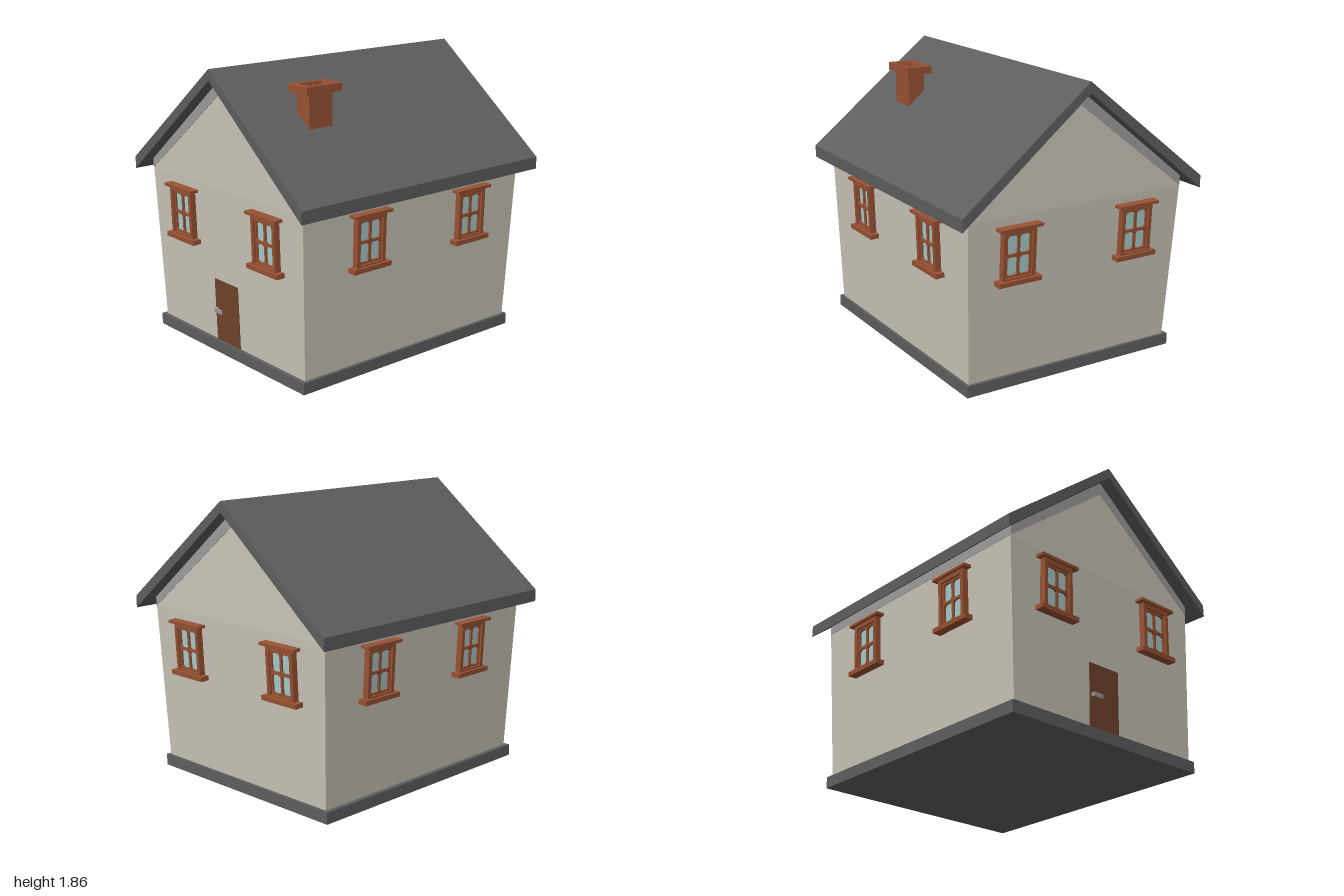
import * as THREE from 'three';

const mat = (name, color) => {
  const m = new THREE.MeshStandardMaterial({ color });
  m.name = name;
  return m;
};

const polygon = (pts) => new THREE.Shape(pts.map(([x, y]) => new THREE.Vector2(x, y)));

// Extrudes a shape along z from z0 to z1
function extrude(shape, z0, z1) {
  const g = new THREE.ExtrudeGeometry(shape, { depth: z1 - z0, bevelEnabled: false });
  return g.translate(0, 0, z0);
}

// Closed solid through rectangular rings [y, x0, x1, z0, z1]
function loft(rings) {
  const corners = rings.map(([y, x0, x1, z0, z1]) => [[x0, y, z1], [x1, y, z1], [x1, y, z0], [x0, y, z0]]);
  const pos = [];
  const quad = (a, b, c, d) => pos.push(...a, ...b, ...c, ...a, ...c, ...d);
  for (let r = 0; r < corners.length - 1; r++) {
    for (let i = 0; i < 4; i++) {
      const j = (i + 1) % 4;
      quad(corners[r][i], corners[r][j], corners[r + 1][j], corners[r + 1][i]);
    }
  }
  quad(...[...corners[0]].reverse());
  quad(...corners[corners.length - 1]);
  const g = new THREE.BufferGeometry();
  g.setAttribute('position', new THREE.Float32BufferAttribute(pos, 3));
  g.computeVertexNormals();
  return g;
}

// Rectangle with chamfered corners, used for the pane openings
function chamferedRect(cx, cy, w, h, c) {
  const x = w / 2, y = h / 2;
  return [[-x + c, -y], [x - c, -y], [x, -y + c], [x, y - c], [x - c, y], [-x + c, y], [-x, y - c], [-x, -y + c]]
    .map(([px, py]) => new THREE.Vector2(cx + px, cy + py));
}

const rect = (w, h) => polygon([[-w / 2, -h / 2], [w / 2, -h / 2], [w / 2, h / 2], [-w / 2, h / 2]]);

export function createModel() {
  const house = new THREE.Group();
  house.name = 'house';
  const plaster = mat('plaster', 0xcac5b8);
  const slate = mat('slate', 0x5e5e5e);
  const trim = mat('eaveTrim', 0x9e9b9b);
  const wood = mat('windowWood', 0x985233);
  const doorWood = mat('doorWood', 0x70442c);
  const glass = mat('glass', 0xa8cccc);
  const metal = mat('metal', 0x9b9b9b);

  const add = (name, geometry, material, parent = house) => {
    const m = new THREE.Mesh(geometry, material);
    m.name = name;
    parent.add(m);
    return m;
  };
  const box = (name, size, at, material, parent) => {
    const m = add(name, new THREE.BoxGeometry(...size), material, parent);
    m.position.set(...at);
    return m;
  };

  // Plinth and outward-leaning walls
  add('plinth', loft([[0, -0.76, 0.77, -0.87, 0.91], [0.075, -0.76, 0.77, -0.87, 0.91]]), slate);
  add('walls', loft([[0.07, -0.73, 0.75, -0.85, 0.885], [1.1, -0.78, 0.778, -0.905, 0.915]]), plaster);

  // Gable block above the walls
  add('gable', extrude(polygon([[-0.78, 1.1], [0.778, 1.1], [0.778, 1.16], [0, 1.788], [-0.78, 1.16]]), -0.905, 0.915), plaster);

  // Grey trim just under the roof on all four sides
  const gableTrim = polygon([[-0.78, 1.1], [0, 1.705], [0.78, 1.1], [0.78, 1.161], [0, 1.789], [-0.78, 1.161]]);
  add('frontTrim', extrude(gableTrim, 0.914, 0.918), trim);
  add('backTrim', extrude(gableTrim, -0.908, -0.904), trim);
  for (const s of [-1, 1]) box('sideTrim', [0.005, 0.061, 1.82], [s * 0.78, 1.131, 0.005], trim);

  // Roof
  add('roof', extrude(polygon([[-0.87, 1.09], [0, 1.79], [0.87, 1.09], [0.87, 1.17], [0, 1.86], [-0.87, 1.17]]), -1, 1), slate);

  // Chimney: shaft, cap and funnel-shaped flue in one profile
  add('chimney', loft([
    [1.4, 0.33, 0.445, 0.41, 0.59], [1.72, 0.33, 0.445, 0.41, 0.59],
    [1.72, 0.3, 0.475, 0.36, 0.63], [1.77, 0.3, 0.475, 0.36, 0.63],
    [1.77, 0.33, 0.445, 0.4, 0.588], [1.62, 0.352, 0.423, 0.43, 0.555],
  ]), wood);

  // Window geometry, shared by all eight windows
  const casingShape = rect(0.23, 0.33);
  casingShape.holes.push(new THREE.Path(chamferedRect(0, 0, 0.178, 0.275, 0.001)));
  const casingGeo = extrude(casingShape, -0.01, 0.04);
  const sashShape = rect(0.18, 0.277);
  for (const x of [-0.043, 0.043]) {
    for (const y of [-0.067, 0.067]) sashShape.holes.push(new THREE.Path(chamferedRect(x, y, 0.07, 0.116, 0.012)));
  }
  const sashGeo = extrude(sashShape, 0, 0.026);

  const addWindow = (x, z, turn, lean) => {
    const w = new THREE.Group();
    w.name = 'window';
    add('casing', casingGeo, wood, w);
    add('sash', sashGeo, wood, w);
    box('pane', [0.178, 0.275, 0.006], [0, 0, 0.01], glass, w);
    box('lintel', [0.298, 0.018, 0.07], [0, 0.174, 0.024], wood, w);
    box('sill', [0.3, 0.03, 0.07], [0, -0.163, 0.024], wood, w);
    w.position.set(x, 0.863, z);
    w.rotation.set(lean, turn, 0, 'YXZ');
    house.add(w);
  };
  for (const x of [-0.425, 0.44]) {
    addWindow(x, 0.908, 0, 0.029);
    addWindow(x, -0.892, Math.PI, 0.053);
  }
  for (const z of [0.412, -0.455]) {
    addWindow(0.771, z, Math.PI / 2, 0.027);
    addWindow(-0.769, z, -Math.PI / 2, 0.049);
  }

  // Door with lever handle, leaning with the front wall
  const door = new THREE.Group();
  door.name = 'door';
  box('doorLeaf', [0.245, 0.415, 0.008], [0, 0, 0], doorWood, door);
  box('handleStem', [0.018, 0.022, 0.026], [-0.1, 0.003, 0.012], metal, door);
  box('handleLever', [0.075, 0.027, 0.01], [-0.07, 0.003, 0.024], metal, door);
  door.position.set(-0.0125, 0.2825, 0.891);
  door.rotation.x = 0.029;
  house.add(door);

  return house;
}
